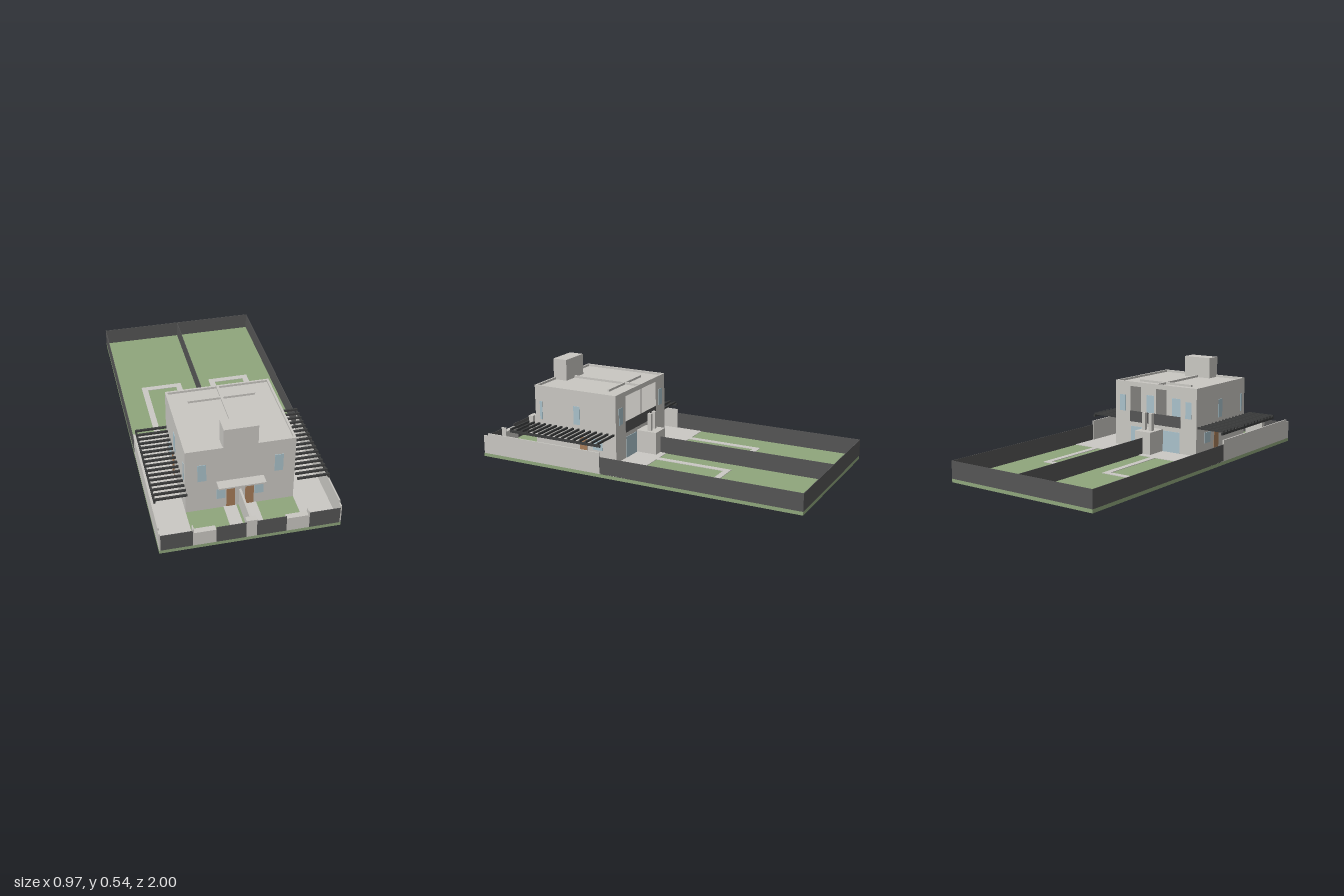
import * as THREE from 'three';

export function createModel() {
  const model = new THREE.Group();
  model.name = 'semiDetachedHouse';

  const material = (name, color) => {
    const m = new THREE.MeshStandardMaterial({ color });
    m.name = name;
    return m;
  };
  const wall = material('render', 0xc9c7c2);
  const paving = material('paving', 0xcac8c4);
  const grass = material('grass', 0x8fa67c);
  const fence = material('darkFence', 0x555555);
  const timber = material('darkTimber', 0x3c3d3d);
  const glass = material('glass', 0xa9c1ca);
  const door = material('doorWood', 0xa57b57);

  // Box given by its limits on each axis
  const box = (name, mat, x0, x1, y0, y1, z0, z1) => {
    const mesh = new THREE.Mesh(new THREE.BoxGeometry(x1 - x0, y1 - y0, z1 - z0), mat);
    mesh.position.set((x0 + x1) / 2, (y0 + y1) / 2, (z0 + z1) / 2);
    mesh.name = name;
    model.add(mesh);
  };
  // The same box on both halves of the plot
  const pair = (name, mat, x0, x1, ...rest) => {
    box(name + 'Left', mat, x0, x1, ...rest);
    box(name + 'Right', mat, -x1, -x0, ...rest);
  };

  const G = 0.02; // ground level
  const P = 0.023; // paving level
  const W = 0.297; // half width of the house
  const E = 0.485; // half width of the plot
  const R = 0.412; // roof deck
  const T = 0.425; // parapet top

  // Ground and paving
  box('lawn', grass, -E, E, 0, G, -1, 1);
  box('backPatio', paving, -E, E, G, P, 0.03, 0.2);
  pair('sidePath', paving, W, E - 0.003, G, P, 0.2, 0.997);
  pair('frontPath', paving, 0.02, 0.09, G, P, 0.75, 0.997);
  pair('gardenPathInner', paving, 0.09, 0.125, G, P, -0.43, 0.03);
  pair('gardenPathOuter', paving, 0.305, 0.34, G, P, -0.43, 0.03);
  pair('gardenPathEnd', paving, 0.125, 0.305, G, P, -0.43, -0.395);

  // House body with a recessed balcony at the back
  box('mainBlock', wall, -W, W, G, R, 0.31, 0.75);
  pair('backWing', wall, 0.185, W, G, R, 0.2, 0.31);
  box('balconyFloor', wall, -0.185, 0.185, G, 0.18, 0.2, 0.31);
  box('balconyRoof', wall, -0.185, 0.185, 0.397, R, 0.2, 0.31);
  box('balconyDivider', wall, -0.007, 0.007, 0.18, 0.397, 0.2, 0.31);
  box('balconyRail', fence, -0.185, 0.185, 0.178, 0.245, 0.197, 0.2);

  // Roof parapets, party wall and stair tower
  pair('sideParapet', wall, W - 0.012, W, R, T, 0.2, 0.75);
  box('frontParapet', wall, -W + 0.012, W - 0.012, R, T, 0.738, 0.75);
  box('backParapet', wall, -W + 0.012, W - 0.012, R, T, 0.2, 0.212);
  box('roofPartyWall', wall, -0.007, 0.007, R, T, 0.212, 0.66);
  pair('roofUpstand', wall, 0.007, 0.19, R, T, 0.304, 0.316);
  box('roofTower', wall, -0.094, 0.092, R, 0.54, 0.66, 0.752);

  // Front openings and door canopy
  pair('frontDoor', door, 0.028, 0.075, P, 0.15, 0.75, 0.753);
  pair('frontLowWindow', glass, 0.08, 0.128, 0.085, 0.15, 0.75, 0.753);
  pair('frontHighWindow', glass, 0.185, 0.232, 0.222, 0.33, 0.75, 0.753);
  box('doorCanopy', wall, -0.13, 0.127, 0.195, 0.204, 0.75, 0.81);

  // Side openings
  pair('sideHighWindow', glass, W, W + 0.003, 0.22, 0.33, 0.44, 0.483);
  pair('sideSlimWindow', glass, W, W + 0.003, 0.22, 0.33, 0.7, 0.717);
  pair('sideDoor', door, W, W + 0.003, P, 0.15, 0.395, 0.443);
  pair('sideLowWindow', glass, W, W + 0.003, 0.085, 0.15, 0.29, 0.355);

  // Back openings
  pair('patioDoor', glass, 0.06, 0.18, P, 0.15, 0.197, 0.2);
  pair('backHighWindow', glass, 0.22, 0.262, 0.24, 0.34, 0.197, 0.2);
  pair('balconyDoor', glass, 0.05, 0.14, 0.182, 0.33, 0.307, 0.31);

  // Back store with two flues
  box('backStore', wall, -0.058, 0.055, G, 0.157, 0.07, 0.2);
  pair('flue', wall, 0.014, 0.036, 0.157, 0.262, 0.115, 0.137);

  // Slatted pergolas over the side paths
  for (let i = 0; i < 16; i++) {
    const z = 0.215 + i * 0.0393;
    pair('pergolaSlat' + i, timber, W, 0.476, 0.185, 0.197, z - 0.005, z + 0.005);
  }
  pair('pergolaBeam', timber, 0.466, 0.476, 0.172, 0.186, 0.2, 0.812);

  // Boundary walls and fences
  pair('sideWall', wall, 0.477, E, G, 0.145, 0.2, 0.967);
  pair('sideWallEnd', wall, 0.477, E, G, 0.13, 0.967, 0.997);
  pair('gardenSideFence', fence, E - 0.003, E, G, 0.12, -1, 0.2);
  box('gardenBackFence', fence, -E + 0.003, E - 0.003, G, 0.12, -1, -0.997);
  box('gardenDivider', fence, -0.0015, 0.0015, G, 0.12, -0.997, 0.07);
  box('frontDivider', wall, -0.006, 0.006, G, 0.13, 0.75, 0.967);
  box('frontCentrePillar', wall, -0.028, 0.028, G, 0.13, 0.967, 1);
  pair('frontLowWall', wall, 0.187, 0.303, G, 0.105, 0.967, 1);
  pair('frontGatePost', wall, 0.303, 0.31, G, 0.13, 0.967, 1);
  pair('frontInnerPanel', fence, 0.028, 0.187, G, 0.12, 0.997, 1);
  pair('frontOuterPanel', fence, 0.31, 0.477, G, 0.12, 0.997, 1);

  return model;
}
